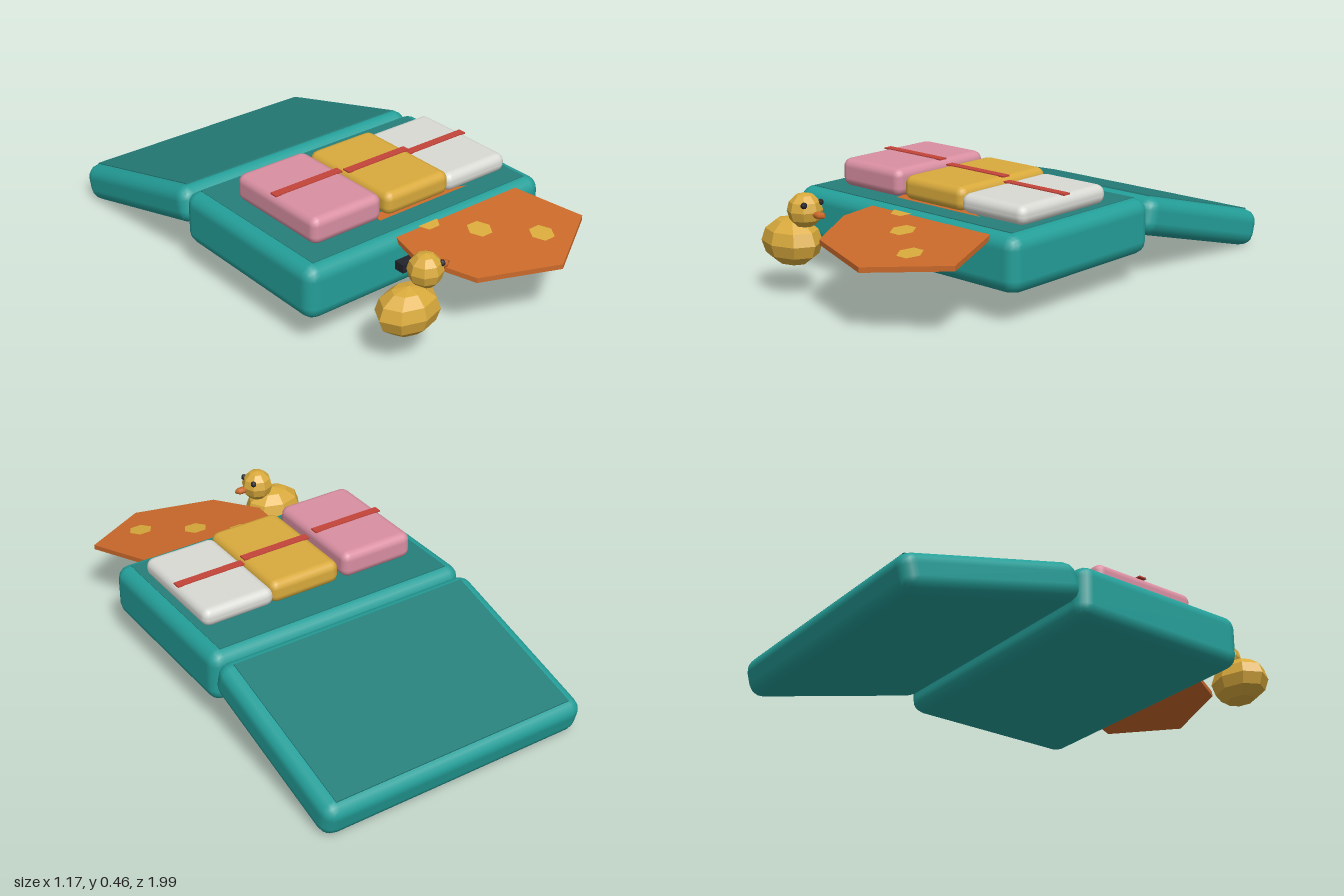
import * as THREE from 'three';
import { RoundedBoxGeometry } from 'three/addons/geometries/RoundedBoxGeometry.js';

const mat = (name, color, extra = {}) => {
  const m = new THREE.MeshStandardMaterial({ color, ...extra });
  m.name = name;
  return m;
};

export function createModel() {
  const teal = mat('teal shell', 0x249f99);
  const lining = mat('dark teal lining', 0x257f7b);
  const pink = mat('pink cloth', 0xd98fa2);
  const yellow = mat('yellow', 0xd9aa3c);
  const white = mat('white cloth', 0xdadad5);
  const red = mat('red band', 0xc4453a);
  const orange = mat('orange', 0xcb6a2b);
  const black = mat('black', 0x22242c);
  yellow.flatShading = true;
  const yellowCloth = mat('yellow cloth', 0xd9aa3c);

  const model = new THREE.Group();
  const add = (parent, name, geometry, material, x = 0, y = 0, z = 0) => {
    const mesh = new THREE.Mesh(geometry, material);
    mesh.name = name;
    mesh.position.set(x, y, z);
    parent.add(mesh);
    return mesh;
  };

  // Lower half of the suitcase
  add(model, 'caseBase', new RoundedBoxGeometry(1.17, 0.222, 0.795, 2, 0.055), teal, 0, 0.233, 0.1625);
  add(model, 'baseLining', new THREE.BoxGeometry(1.06, 0.006, 0.7), lining, 0, 0.343, 0.16);
  add(model, 'handle', new THREE.BoxGeometry(0.365, 0.035, 0.06), black, 0, 0.23, 0.576);

  // Open lid, tilted down behind
  const lid = new THREE.Group();
  lid.name = 'lid';
  lid.position.set(0, 0.167, -0.61);
  lid.rotation.x = -THREE.MathUtils.degToRad(15);
  add(lid, 'lidShell', new RoundedBoxGeometry(1.17, 0.155, 0.79, 2, 0.055), teal);
  add(lid, 'lidLining', new THREE.BoxGeometry(1.06, 0.006, 0.7), lining, 0, 0.078, 0);
  model.add(lid);

  // Folded clothes with bands
  const clothes = [
    ['pink', pink, -0.295, 0.33, 0.455],
    ['yellow', yellowCloth, 0.049, 0.318, 0.44],
    ['white', white, 0.352, 0.318, 0.42],
  ];
  for (const [name, material, x, width, top] of clothes) {
    const h = top - 0.342;
    add(model, name + 'Clothes', new RoundedBoxGeometry(width, h, 0.485, 2, 0.035), material, x, 0.342 + h / 2, 0.188);
    add(model, name + 'Band', new THREE.BoxGeometry(width - 0.012, 0.006, 0.035), red, x, top + 0.001, 0.178);
  }

  // Scarf hanging over the front edge, sloping down to the front
  const slope = (g) => {
    const p = g.attributes.position;
    for (let i = 0; i < p.count; i++) p.setY(i, p.getY(i) + 0.347 - 0.135 * (p.getZ(i) - 0.42));
    g.computeVertexNormals();
    return g;
  };
  const outline = [[-0.18, 0.67], [-0.075, 0.885], [0.255, 0.995], [0.545, 0.815], [0.43, 0.47], [0.1, 0.36], [-0.14, 0.39]];
  const shape = new THREE.Shape(outline.map(([x, z]) => new THREE.Vector2(x, z)));
  const scarf = new THREE.ExtrudeGeometry(shape, { depth: 0.02, bevelEnabled: false }).rotateX(Math.PI / 2);
  add(model, 'scarf', slope(scarf), orange);
  for (const [x, z] of [[0, 0.53], [0.14, 0.67], [0.325, 0.815]]) {
    const dot = new THREE.CircleGeometry(0.05, 6).rotateX(-Math.PI / 2).translate(x, 0.003, z);
    add(model, 'scarfDot', slope(dot), yellow);
  }

  // Toy duck facing +x
  const duck = new THREE.Group();
  duck.name = 'duck';
  duck.position.set(-0.33, 0, 0.8);
  add(duck, 'duckBody', new THREE.SphereGeometry(1, 8, 6).scale(0.133, 0.095, 0.102), yellow, 0, 0.215, 0);
  add(duck, 'duckHead', new THREE.SphereGeometry(0.068, 8, 6), yellow, 0.08, 0.348, 0);
  add(duck, 'duckBeak', new THREE.SphereGeometry(1, 6, 4).scale(0.035, 0.014, 0.021), orange, 0.16, 0.341, 0);
  for (const side of [-1, 1]) {
    add(duck, 'duckEye', new THREE.SphereGeometry(0.013, 6, 5), black, 0.122, 0.378, side * 0.04);
  }
  model.add(duck);

  return model;
}
